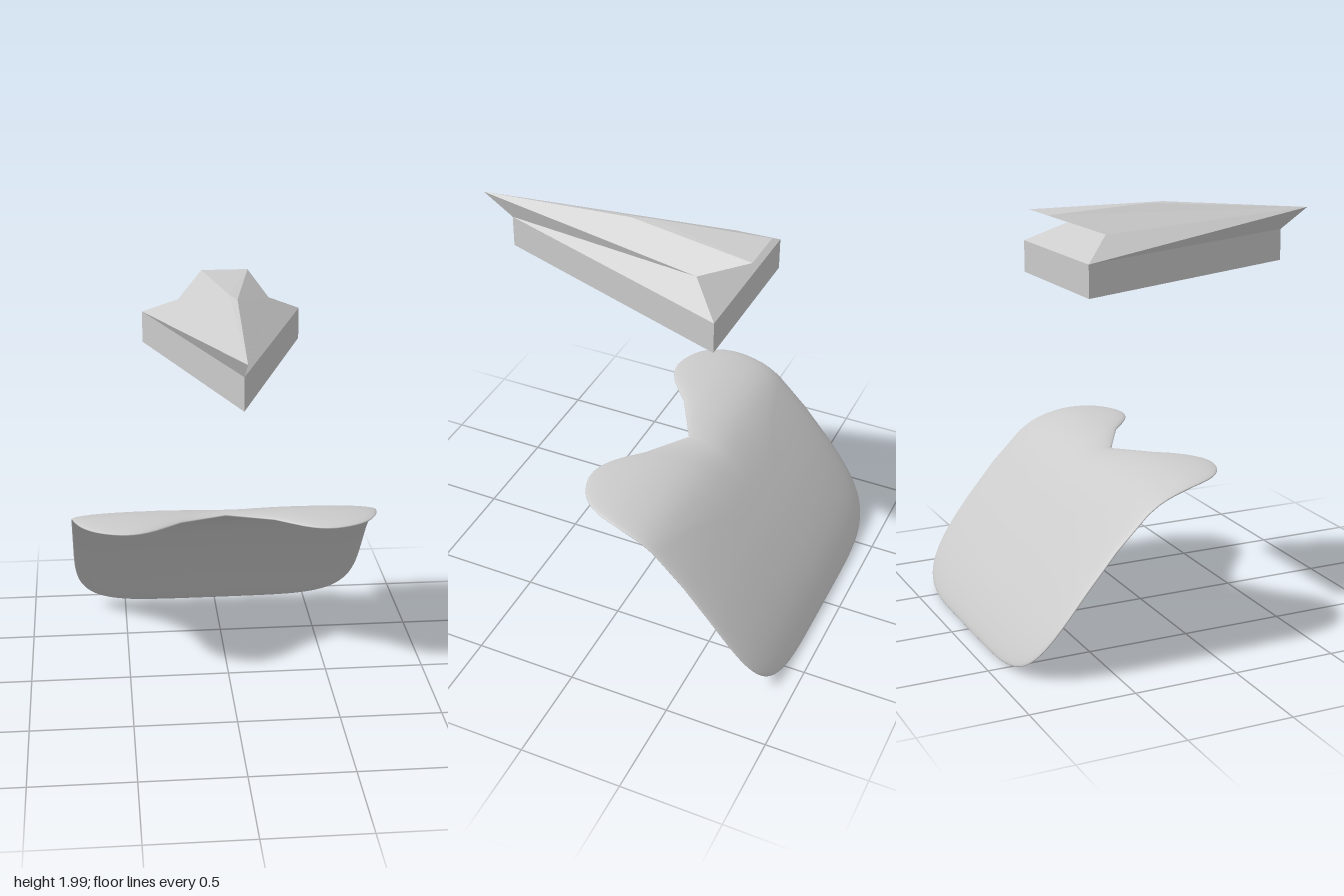
import * as THREE from 'three';
import { mergeVertices } from 'three/addons/utils/BufferGeometryUtils.js';

const smooth = new THREE.MeshStandardMaterial({ color: 0xcccccc });
const faceted = new THREE.MeshStandardMaterial({ color: 0xcccccc, flatShading: true, side: THREE.DoubleSide });

// Flat-shaded sheet from polygons, each a counter-clockwise list of corners
function panels(name, polygons) {
  const pos = [];
  for (const p of polygons) {
    for (let i = 1; i < p.length - 1; i++) pos.push(...p[0], ...p[i], ...p[i + 1]);
  }
  const geo = new THREE.BufferGeometry();
  geo.setAttribute('position', new THREE.Float32BufferAttribute(pos, 3));
  geo.computeVertexNormals();
  const mesh = new THREE.Mesh(geo, faceted);
  mesh.name = name;
  return mesh;
}

// Arrow-shaped craft: open-bottomed skirt, sloping flanks and a roof with an overhanging tail
function createCraft() {
  const nose = [0, 1.93, 0.92];
  const keelTop = [0, 1.83, 0.77], keelLow = [0, 1.675, 0.77];
  const cornerR = [0.39, 1.8, -0.44], cornerL = [-0.39, 1.8, -0.44];
  const lowR = [0.39, 1.645, -0.44], lowL = [-0.39, 1.645, -0.44];
  const notchR = [0.22, 1.9, -0.28], notchL = [-0.22, 1.9, -0.28];
  const tailR = [0.14, 1.985, -0.51], tailL = [-0.09, 1.985, -0.51];
  const peak = [0.03, 2.0, 0.13], ridge = [0, 2.0, 0.04];

  const craft = new THREE.Group();
  craft.name = 'craft';
  craft.add(
    panels('skirt', [
      [keelTop, keelLow, lowR, cornerR],
      [keelLow, keelTop, cornerL, lowL],
      [cornerR, lowR, lowL, cornerL],
    ]),
    panels('flanks', [
      [nose, keelTop, notchR], [keelTop, cornerR, notchR],
      [nose, notchL, cornerL], [nose, cornerL, keelTop],
    ]),
    panels('roof', [
      [tailL, nose, ridge], [nose, peak, ridge],
      [ridge, peak, tailR], [ridge, tailR, tailL],
      [nose, notchR, peak], [peak, notchR, tailR],
      [nose, tailL, notchL],
    ]),
    panels('stern', [
      [notchR, cornerR, cornerL, notchL],
      [tailR, notchR, notchL, tailL],
    ]),
  );
  return craft;
}

// Curved cushion: a rounded-square pad bent along a side profile, with a scalloped front edge
function createCushion() {
  const halfWidth = 0.775, halfThick = 0.03, rows = 48, cols = 128;
  const profile = new THREE.CatmullRomCurve3([
    [0.15, 0.845], [0, 0.838], [-0.13, 0.82], [-0.27, 0.772], [-0.38, 0.69],
    [-0.55, 0.505], [-0.7, 0.32], [-0.81, 0.17], [-0.915, 0.006],
  ].map(([z, y]) => new THREE.Vector3(0, y, z)));
  const length = profile.getLength();
  const power = (c, e) => Math.sign(c) * Math.pow(Math.abs(c), e);

  const pos = [], index = [];
  for (let i = 0; i <= rows; i++) {
    const phi = (i / rows) * Math.PI;
    const r = i === rows ? 0 : Math.sin(phi);
    const h = halfThick * Math.sign(Math.cos(phi)) * Math.sqrt(Math.max(0, 1 - r ** 4));
    for (let j = 0; j < cols; j++) {
      const a = (j / cols) * Math.PI * 2;
      const x = halfWidth * r * power(Math.cos(a), 0.4);
      const v = r * power(Math.sin(a), 0.4);
      // Scallop: the front edge retreats towards the middle
      const bump = Math.abs(x) < 0.57 ? Math.pow(0.5 + 0.5 * Math.cos(Math.PI * x / 0.57), 1.3) : 0;
      const start = 0.31 * bump / length;
      const t = THREE.MathUtils.clamp(start + (1 - start) * (1 - v) / 2, 0, 1);
      const p = profile.getPointAt(t), d = profile.getTangentAt(t);
      const edge = Math.abs(i - rows / 2) < 0.5 ? 0 : h;
      pos.push(x, p.y - d.z * edge, p.z + d.y * edge);
      if (i < rows) {
        const k = i * cols + j, n = i * cols + (j + 1) % cols;
        if (i > 0) index.push(k, n, k + cols);
        if (i < rows - 1) index.push(n, n + cols, k + cols);
      }
    }
  }
  let geo = new THREE.BufferGeometry();
  geo.setAttribute('position', new THREE.Float32BufferAttribute(pos, 3));
  geo.setIndex(index);
  geo = mergeVertices(geo, 1e-5);
  geo.computeVertexNormals();
  const mesh = new THREE.Mesh(geo, smooth);
  mesh.name = 'cushion';
  return mesh;
}

export function createModel() {
  const model = new THREE.Group();
  model.name = 'craftAboveCushion';
  model.add(createCraft(), createCushion());
  return model;
}
